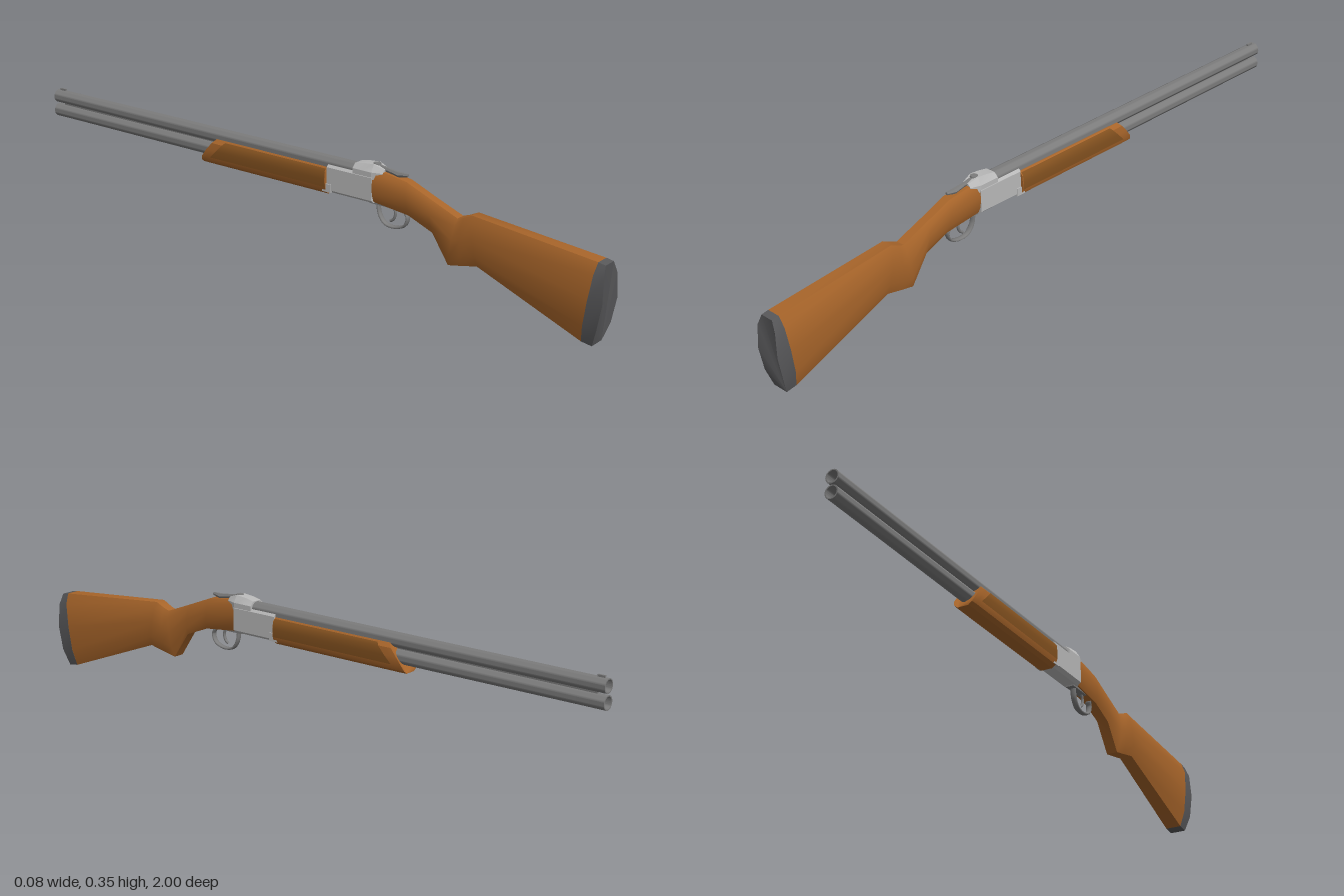
import * as THREE from 'three';
import { toCreasedNormals } from 'three/addons/utils/BufferGeometryUtils.js';

const mat = (name, color, side = THREE.FrontSide) => {
  const m = new THREE.MeshStandardMaterial({ color, side });
  m.name = name;
  return m;
};

// Skin over rings of [x, y, z], counter-clockwise seen from +z, ordered towards +z
function loft(rings, crease = 0.6, closed = true) {
  const n = rings[0].length, idx = [];
  for (let i = 0; i < rings.length - 1; i++) {
    for (let j = 0; j < (closed ? n : n - 1); j++) {
      const k = (j + 1) % n;
      const a = i * n + j, b = i * n + k, c = a + n, d = b + n;
      idx.push(a, b, c, b, d, c);
    }
  }
  if (closed) {
    const e = (rings.length - 1) * n;
    for (let j = 1; j < n - 1; j++) idx.push(0, j + 1, j, e, e + j, e + j + 1);
  }
  const g = new THREE.BufferGeometry();
  g.setAttribute('position', new THREE.Float32BufferAttribute(rings.flat(2), 3));
  g.setIndex(idx);
  return toCreasedNormals(g, crease);
}

// Mirror a right-hand half section (bottom to top) into a full ring
const mirror = (half) => [...half, ...half.slice().reverse().map(([x, y, z]) => [-x, y, z])];

// Rounded stock section between a top and a bottom point of the side outline
const OVAL = [[0.64, 0], [0.95, 0.22], [1, 0.55], [0.87, 0.86], [0.52, 1]];
const stockRing = (zt, yt, zb, yb, w, bulge = 0) => mirror(OVAL.map(([fx, fy]) =>
  [fx * w, yb + fy * (yt - yb), zb + fy * (zt - zb) + bulge * Math.sin(fy * Math.PI)]));

export function createModel() {
  const root = new THREE.Group();
  const wood = mat('wood', 0xa8652a);
  const panelWood = mat('dark wood', 0x83511f, THREE.DoubleSide);
  const steel = mat('barrel steel', 0x7c7c7c);
  const silver = mat('receiver silver', 0xb9b9b9);
  const rubber = mat('butt rubber', 0x58585a);
  const add = (name, geo, material, x = 0, y = 0, z = 0) => {
    const m = new THREE.Mesh(geo, material);
    m.name = name;
    m.position.set(x, y, z);
    root.add(m);
    return m;
  };

  // Stock: wrist, grip, comb and butt
  add('stock', loft([
    stockRing(0.25, 0.334, 0.25, 0.238, 0.028),
    stockRing(0.36, 0.318, 0.37, 0.224, 0.026),
    stockRing(0.44, 0.286, 0.45, 0.192, 0.025),
    stockRing(0.53, 0.251, 0.505, 0.111, 0.027),
    stockRing(0.55, 0.258, 0.545, 0.119, 0.029),
    stockRing(0.578, 0.271, 0.6, 0.131, 0.031),
    stockRing(0.968, 0.234, 0.932, 0.005, 0.039),
  ], 0.7), wood);
  add('buttPad', loft([
    stockRing(0.968, 0.234, 0.932, 0.005, 0.0395),
    stockRing(0.99, 0.23, 0.965, 0, 0.0395, 0.018),
  ], 0.4), rubber);

  // Receiver body and the raised breech behind the barrels
  const bodyHalf = (z) => mirror([[0.018, 0.234, z], [0.029, 0.243, z], [0.029, 0.31, z], [0.022, 0.317, z]]);
  add('receiver', loft([bodyHalf(0.095), bodyHalf(0.252)], 0.3), silver);
  const breechHalf = (z, w, top) => mirror([[w, 0.305, z], [w, 0.326, z], [w * 0.55, top, z]]);
  add('breech', loft([
    breechHalf(0.185, 0.028, 0.338), breechHalf(0.215, 0.028, 0.344),
    breechHalf(0.25, 0.028, 0.347), breechHalf(0.282, 0.018, 0.336),
  ], 0.3), silver);
  for (const s of [1, -1]) {
    add('receiverTab', new THREE.BoxGeometry(0.012, 0.024, 0.03), silver, s * 0.0262, 0.249, 0.096);
  }

  // Two open barrels, tapering slightly to the muzzle
  const barrelProfile = [
    [0.017, 0.96], [0.017, 1], [0.0205, 1], [0.0205, 0.9], [0.0225, -0.19], [0, -0.19],
  ];
  for (const [name, y] of [['upperBarrel', 0.3135], ['lowerBarrel', 0.2685]]) {
    const pts = [new THREE.Vector2(0, 0.7), new THREE.Vector2(0.017, 0.7),
      ...barrelProfile.map(([r, h]) => new THREE.Vector2(r, h))].reverse();
    const g = new THREE.LatheGeometry(pts, 24);
    g.rotateX(-Math.PI / 2);
    add(name, toCreasedNormals(g, 0.6), steel, 0, y, 0);
  }
  add('barrelRib', new THREE.BoxGeometry(0.008, 0.03, 1.07), steel, 0, 0.291, -0.435);
  add('frontSight', new THREE.BoxGeometry(0.006, 0.009, 0.022), steel, 0, 0.335, -0.978);

  // Fore-end with a swept front edge
  const FORE = [[0.018, 0.228], [0.03, 0.237], [0.0355, 0.252], [0.0365, 0.275], [0.034, 0.297], [0.024, 0.308]];
  const sweep = (y) => -0.375 + 0.055 * Math.max(0, (y - 0.24) / 0.068) ** 1.2;
  add('foreEnd', loft([
    mirror(FORE.map(([x, y]) => [x * 0.95, y, sweep(y)])),
    mirror(FORE.map(([x, y]) => [x, y, sweep(y) + 0.02])),
    mirror(FORE.map(([x, y]) => [x, y, 0.094])),
  ], 0.5), wood);

  // Dark grip panels following the sides of the fore-end
  const PANEL = [[0.0365, 0.252], [0.0378, 0.275], [0.0353, 0.297], [0.0285, 0.305]];
  for (const s of [1, -1]) {
    const front = PANEL.map(([x, y]) => [s * x, y, -0.335 + (y - 0.252)]);
    const back = PANEL.map(([x, y]) => [s * x, y, 0.092]);
    // the left side winds the other way
    if (s < 0) { front.reverse(); back.reverse(); }
    add('gripPanel', loft([front, back], 0.7, false), panelWood);
  }

  // Top lever: round pivot and thumb piece
  add('leverPivot', new THREE.CylinderGeometry(0.011, 0.013, 0.012, 16), steel, 0, 0.342, 0.25);
  const leverRing = (z, y, w, h) => mirror([[w * 0.6, y - h, z], [w, y, z], [w * 0.5, y + h, z]]);
  add('topLever', loft([
    leverRing(0.25, 0.34, 0.009, 0.006), leverRing(0.29, 0.334, 0.006, 0.006),
    leverRing(0.325, 0.329, 0.009, 0.007), leverRing(0.355, 0.332, 0.004, 0.004),
  ], 0.4), steel);

  // Trigger guard strap and trigger
  const strap = (name, pts, r, wide) => {
    const curve = new THREE.CatmullRomCurve3(pts.map(([z, y]) => new THREE.Vector3(0, y, z)));
    add(name, new THREE.TubeGeometry(curve, 28, r, 8), steel).scale.x = wide;
  };
  strap('triggerGuard', [[0.255, 0.236], [0.262, 0.2], [0.28, 0.177], [0.315, 0.172],
    [0.348, 0.185], [0.357, 0.21], [0.35, 0.225], [0.375, 0.228]], 0.004, 2.4);
  strap('trigger', [[0.305, 0.24], [0.315, 0.215], [0.309, 0.195], [0.298, 0.187]], 0.004, 1.2);
  add('triggerPlate', new THREE.BoxGeometry(0.026, 0.008, 0.13), steel, 0, 0.234, 0.3);

  return root;
}
